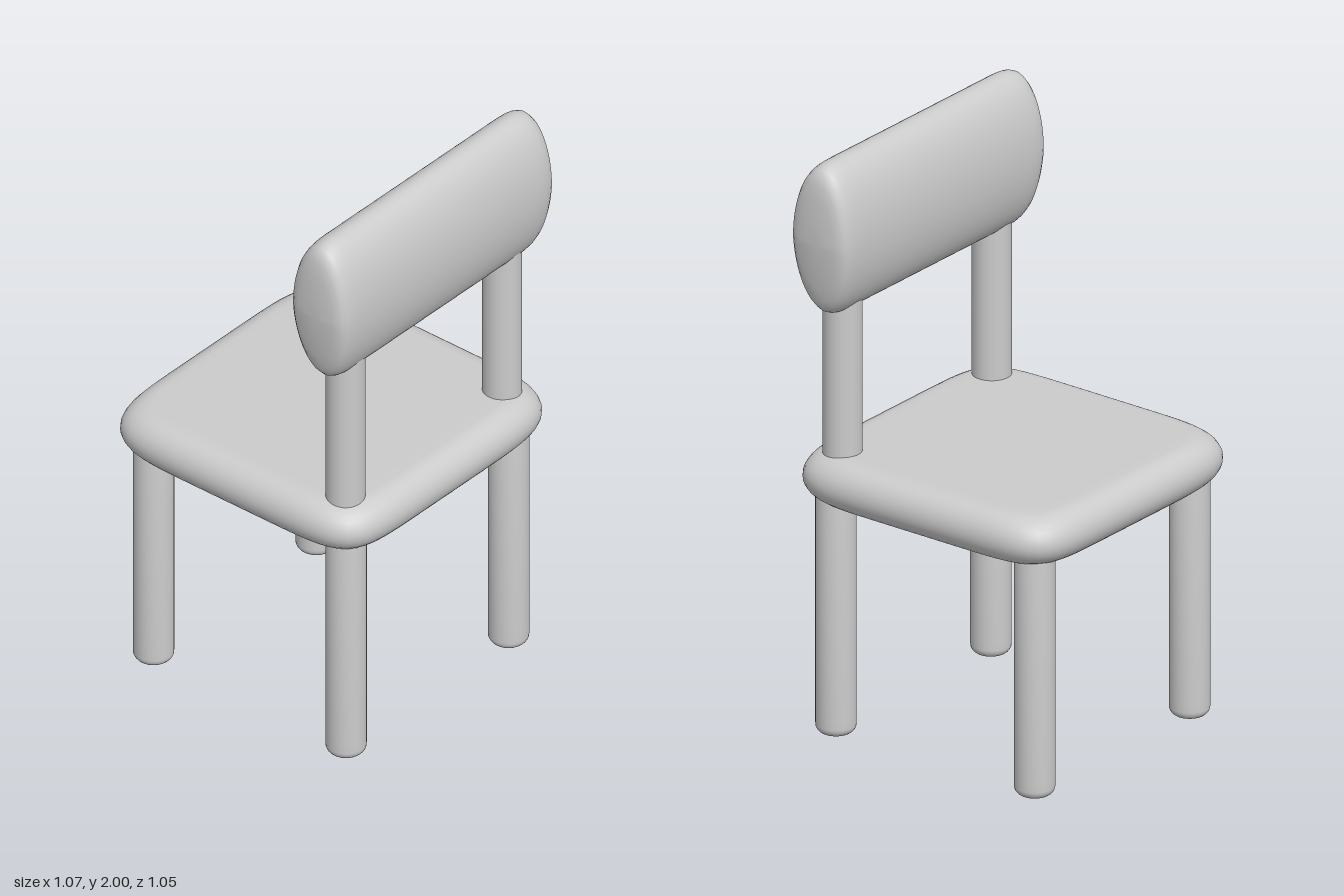
import * as THREE from 'three';
import { mergeVertices } from 'three/addons/utils/BufferGeometryUtils.js';

const material = new THREE.MeshStandardMaterial({ color: 0xcccccc });

// Lathe a [radius, height] profile, move its vertices by a rule, then smooth it
function softLathe(profile, segments, rule) {
  const lathe = new THREE.LatheGeometry(profile.map(([r, h]) => new THREE.Vector2(r, h)), segments);
  const p = lathe.attributes.position;
  const v = new THREE.Vector3();
  for (let i = 0; rule && i < p.count; i++) {
    rule(v.fromBufferAttribute(p, i));
    p.setXYZ(i, v.x, v.y, v.z);
  }
  lathe.deleteAttribute('normal');
  lathe.deleteAttribute('uv');
  const geometry = mergeVertices(lathe, 1e-5);
  geometry.computeVertexNormals();
  return geometry;
}

// Quarter-round arc between two angles, for rounded rims
function arc(r, h, radius, from, to, steps) {
  return Array.from({ length: steps + 1 }, (_, i) => {
    const a = from + (to - from) * i / steps;
    return [r + radius * Math.cos(a), h + radius * Math.sin(a)];
  });
}

export function createModel() {
  const group = new THREE.Group();
  const add = (name, geometry, x = 0, y = 0, z = 0) => {
    const mesh = new THREE.Mesh(geometry, material);
    mesh.name = name;
    mesh.position.set(x, y, z);
    group.add(mesh);
  };

  // Seat: cushion with a round rim, its circle stretched to a soft square
  const squareness = 7;
  const seatProfile = [[0, -0.085], [0.2, -0.085], [0.4, -0.085],
    ...arc(0.44, 0, 0.085, -Math.PI / 2, Math.PI / 2, 16),
    [0.4, 0.085], [0.2, 0.085], [0, 0.085]];
  add('seat', softLathe(seatProfile, 128, v => {
    const r = Math.hypot(v.x, v.z);
    if (r < 1e-6) return;
    const c = Math.abs(v.x / r), s = Math.abs(v.z / r);
    const k = (c ** squareness + s ** squareness) ** (-1 / squareness);
    v.x *= k;
    v.z *= k;
  }), 0, 0.89, 0);

  // Legs: round posts with softened feet
  const legProfile = [[0, 0], [0.03, 0], ...arc(0.036, 0.03, 0.03, -Math.PI / 2, 0, 6),
    [0.066, 0.06], [0.066, 0.87], [0, 0.87]];
  const leg = softLathe(legProfile, 32);
  for (const [side, x] of [['left', 0.4], ['right', -0.4]]) {
    add(side + 'FrontLeg', leg, x, 0, -0.4);
    add(side + 'BackLeg', leg, x, 0, 0.4);
    // Posts carrying the backrest
    add(side + 'BackPost', new THREE.CylinderGeometry(0.064, 0.064, 0.72, 32, 1, true), x * 0.963, 1.25, 0.385);
  }

  // Backrest: oval bar with softly domed ends, slightly narrower at the bottom
  const end = [[1, 0.3], [1, 0.42], [0.993, 0.455], [0.975, 0.48], [0.94, 0.5], [0.88, 0.514],
    [0.78, 0.524], [0.6, 0.531], [0.3, 0.535], [0, 0.536]];
  const barProfile = [...end.map(([r, h]) => [r, -h]).reverse(), [1, 0], ...end];
  add('backrest', softLathe(barProfile, 64, v => {
    const along = v.y, up = v.x, depth = v.z;
    v.set(along * (1 - 0.04 * Math.max(0, -up)), up * 0.264, -depth * 0.118);
  }), 0, 1.736, 0.38);

  return group;
}
